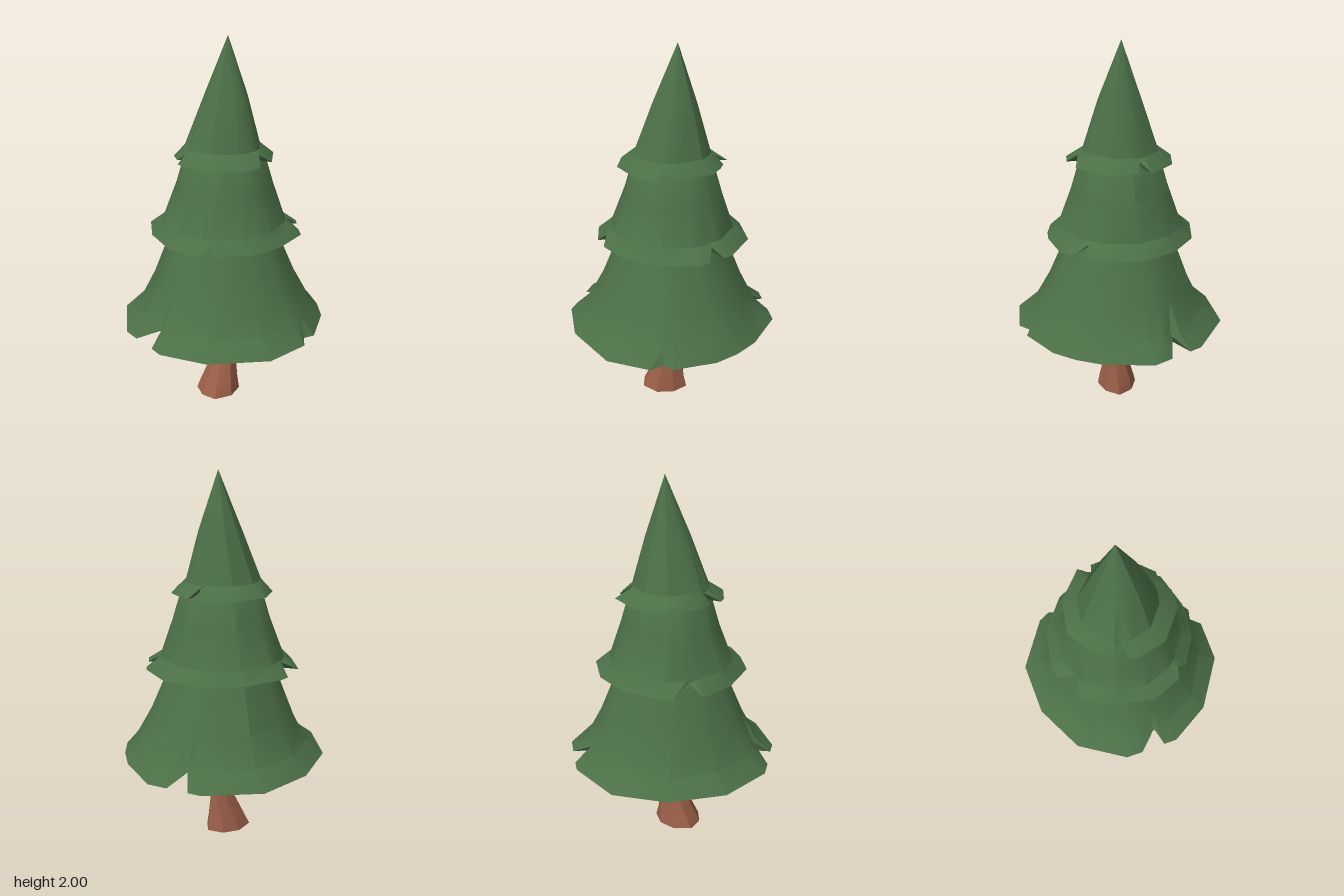
import * as THREE from 'three';
import { toCreasedNormals } from 'three/addons/utils/BufferGeometryUtils.js';

const leafMaterial = new THREE.MeshStandardMaterial({ color: 0x4b6f47 });
const barkMaterial = new THREE.MeshStandardMaterial({ color: 0x9b5f48 });

// Joins rings of [x, y, z] points (listed bottom to top) and closes the underside.
function loft(rings, underside, crease) {
  const pos = [];
  const tri = (a, b, c) => pos.push(...a, ...b, ...c);
  const n = rings[0].length;
  for (let i = 0; i < n; i++) {
    const j = (i + 1) % n;
    tri(underside, rings[0][i], rings[0][j]);
    for (let k = 0; k < rings.length - 1; k++) {
      const low = rings[k], high = rings[k + 1];
      tri(low[i], high[i], low[j]);
      // a ring that shrinks to a tip needs one triangle only
      const tip = Math.hypot(high[i][0] - high[j][0], high[i][2] - high[j][2]) < 1e-6;
      if (!tip) tri(low[j], high[i], high[j]);
    }
  }
  const geo = new THREE.BufferGeometry();
  geo.setAttribute('position', new THREE.Float32BufferAttribute(pos, 3));
  return toCreasedNormals(geo, crease);
}

// A skirt of foliage: a ragged hem [x, z] and smooth rings [y, radius, cx, cz] above it.
function foliage(name, y0, hem, notchRadius, levels) {
  const rings = [hem.map(([x, z]) => {
    // points cut into the hem rise along the flare
    const cut = Math.hypot(x, z) < notchRadius;
    return [x, cut ? y0 + (levels[0][0] - y0) * 0.75 : y0, z];
  })];
  levels.forEach(([y, r, cx, cz], k) => rings.push(hem.map(([x, z]) => {
    const a = Math.atan2(z, x);
    const reach = k === 0 ? Math.min(r, Math.hypot(x, z) * 0.96) : r;
    return [cx + reach * Math.cos(a), y, cz + reach * Math.sin(a)];
  })));
  const mesh = new THREE.Mesh(loft(rings, [0, y0 + 0.005, 0], 0.5), leafMaterial);
  mesh.name = name;
  return mesh;
}

// A twisted trunk with a flared foot, from elliptical sections.
function trunk() {
  const sides = 8;
  const sections = [ // y, centre x, centre z, radius x, radius z, twist
    [0, 0, 0.045, 0.112, 0.132, 0],
    [0.06, 0, 0.035, 0.1, 0.112, 0.05],
    [0.19, 0.004, 0.01, 0.07, 0.072, 0.2],
    [0.32, 0.002, 0.005, 0.063, 0.06, 0.4],
    [0.42, 0, 0.01, 0.066, 0.068, 0.5],
    [0.58, 0, 0.018, 0.075, 0.085, 0.55],
  ];
  const rings = sections.map(([y, cx, cz, rx, rz, twist], k) =>
    Array.from({ length: sides }, (_, i) => {
      const a = (i / sides) * Math.PI * 2 + twist;
      const bump = 1 + 0.06 * Math.sin(i * 2.4 + k * 0.5);
      return [cx + rx * bump * Math.cos(a), y, cz + rz * bump * Math.sin(a)];
    }));
  const mesh = new THREE.Mesh(loft(rings, [0, 0, 0.045], 0.3), barkMaterial);
  mesh.name = 'trunk';
  return mesh;
}

export function createModel() {
  const tree = new THREE.Group();
  tree.name = 'pineTree';
  tree.add(trunk());

  tree.add(foliage('lowerFoliage', 0.49, [
    [-0.12, -0.56], [0.14, -0.52], [0.27, -0.46], [0.38, -0.38], [0.51, -0.19], [0.495, -0.13],
    [0.55, -0.08], [0.55, 0.155], [0.375, 0.42], [0.155, 0.55], [0.08, 0.55], [0.05, 0.47],
    [0.04, 0.465], [-0.055, 0.555], [-0.15, 0.555], [-0.4, 0.4], [-0.54, 0.135], [-0.555, -0.16],
    [-0.385, -0.42], [-0.32, -0.455], [-0.235, -0.395], [-0.215, -0.51],
  ], 0.49, [
    [0.57, 0.47, 0, 0], [0.72, 0.39, -0.005, 0], [0.95, 0.295, -0.012, 0], [1.06, 0.25, -0.012, 0],
  ]));

  tree.add(foliage('middleFoliage', 0.99, [
    [-0.065, -0.41], [0.15, -0.38], [0.19, -0.35], [0.18, -0.28], [0.26, -0.295], [0.32, -0.255],
    [0.375, -0.06], [0.375, 0.03], [0.355, 0.14], [0.27, 0.275], [0.22, 0.28], [0.21, 0.335],
    [0.055, 0.4], [-0.125, 0.365], [-0.165, 0.36], [-0.335, 0.255], [-0.29, 0.165], [-0.4, 0.12],
    [-0.41, 0.065], [-0.375, -0.15], [-0.25, -0.315],
  ], 0.36, [
    [1.05, 0.33, -0.015, 0], [1.24, 0.26, -0.015, -0.005], [1.39, 0.215, -0.015, -0.005],
    [1.44, 0.17, -0.015, -0.005],
  ]));

  tree.add(foliage('upperFoliage', 1.39, [
    [-0.07, -0.26], [0, -0.265], [0.095, -0.25], [0.225, -0.12], [0.21, -0.05], [0.265, -0.005],
    [0.26, 0.095], [0.145, 0.24], [0, 0.275], [-0.045, 0.27], [-0.065, 0.185], [-0.105, 0.23],
    [-0.185, 0.195], [-0.29, 0.055], [-0.265, -0.12], [-0.14, -0.26], [-0.08, -0.19],
  ], 0.23, [
    [1.45, 0.2, -0.015, 0], [1.7, 0.115, -0.01, -0.015], [2, 0, -0.015, -0.03],
  ]));
  return tree;
}
